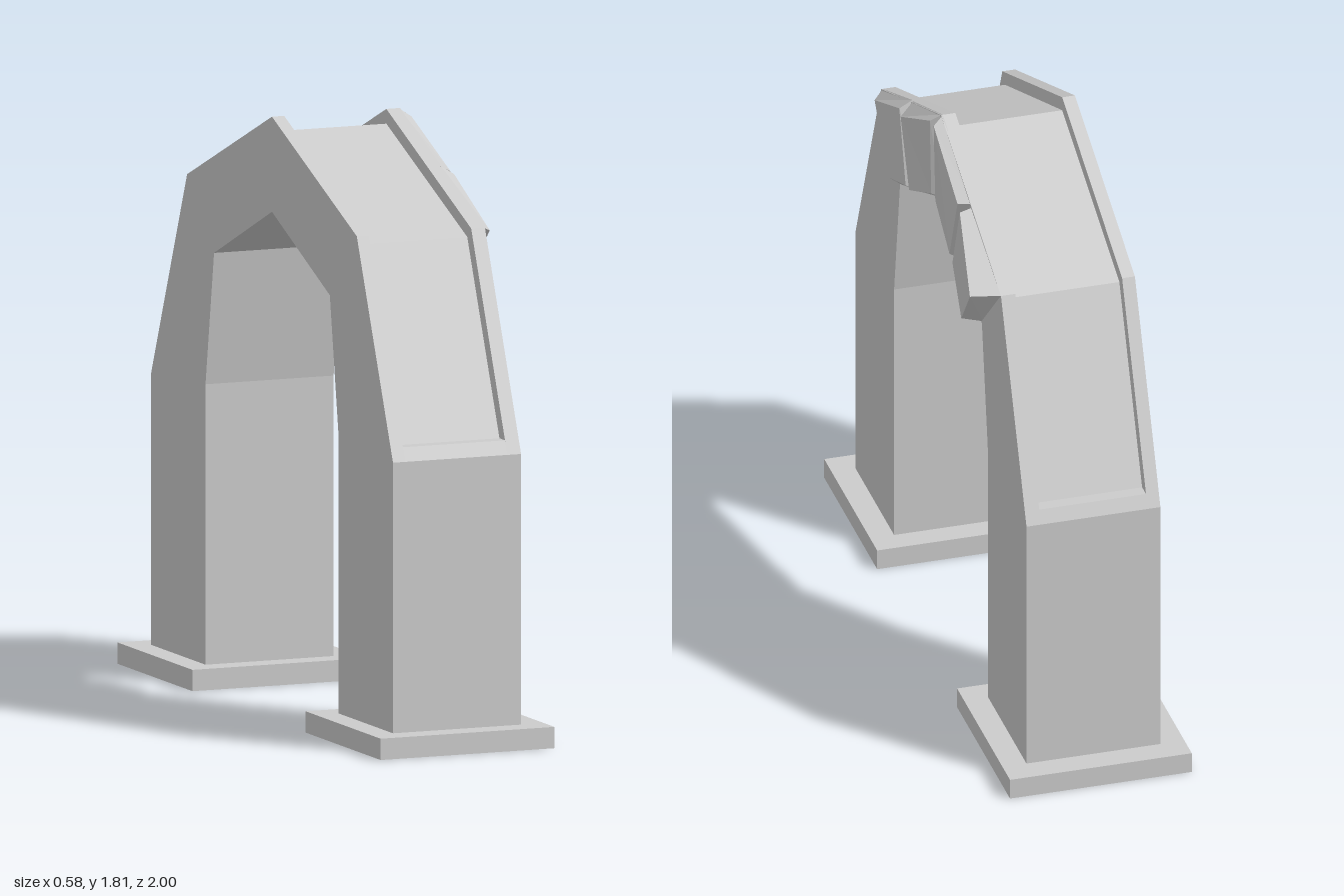
import * as THREE from 'three';

const material = new THREE.MeshStandardMaterial({ color: 0xcccccc, flatShading: true });

// Half profiles of the arch, as [z, y] from the foot upwards
const outer = [[0.92, 0.05], [0.92, 0.89], [0.645, 1.54], [0, 1.81]];
const recessed = [[0.92, 0.05], [0.92, 0.89], [0.902, 0.932], [0.86, 0.932], [0.615, 1.51], [0, 1.765]];
const inner = [[0.505, 0.05], [0.505, 0.92], [0.44, 1.33], [0, 1.52]];

// Mirror an outer line and the inner line across z = 0 and extrude the arch along x
function archSlice(line, x0, x1) {
  const mirror = (l) => [...l, ...l.slice(0, -1).reverse().map(([z, y]) => [-z, y])];
  const points = [...mirror(line), ...mirror(inner).reverse()];
  const shape = new THREE.Shape(points.map(([z, y]) => new THREE.Vector2(z, y)));
  const geometry = new THREE.ExtrudeGeometry(shape, { depth: x1 - x0, bevelEnabled: false });
  return geometry.rotateY(Math.PI / 2).translate(x0, 0, 0);
}

// Bevelled stone: base corners [z, y] on the wall, face corners [x, z, y],
// both running top left, bottom left, bottom right, top right
function stoneGeometry(base, face) {
  const back = base.map(([z, y]) => [0.195, y, z]);
  const front = face.map(([x, z, y]) => [x, y, z]);
  const positions = [];
  const quad = (a, b, c, d) => positions.push(...a, ...b, ...c, ...a, ...c, ...d);
  quad(...front);
  for (let i = 0; i < 4; i++) {
    const j = (i + 1) % 4;
    quad(back[i], back[j], front[j], front[i]);
  }
  const geometry = new THREE.BufferGeometry();
  geometry.setAttribute('position', new THREE.Float32BufferAttribute(positions, 3));
  geometry.computeVertexNormals();
  return geometry;
}

export function createModel() {
  const group = new THREE.Group();
  const add = (name, geometry) => {
    const mesh = new THREE.Mesh(geometry, material);
    mesh.name = name;
    group.add(mesh);
    return mesh;
  };

  // Arch with a sunken channel between two rims
  add('archCore', archSlice(recessed, -0.18, 0.155));
  add('archRightRim', archSlice(outer, -0.22, -0.18));
  add('archLeftRim', archSlice(outer, 0.155, 0.2));

  // Foot plates
  for (const [name, side] of [['frontFootPlate', 1], ['backFootPlate', -1]]) {
    add(name, new THREE.BoxGeometry(0.57, 0.065, 0.57)).position.set(-0.01, 0.0325, side * 0.715);
  }

  // Uneven facing stones on the left side of the crown
  const stones = {
    frontLowerStone: [
      [[0.645, 1.54], [0.442, 1.32], [0.21, 1.425], [0.325, 1.68]],
      [[0.23, 0.612, 1.525], [0.24, 0.433, 1.358], [0.24, 0.244, 1.435], [0.235, 0.329, 1.655]],
    ],
    frontUpperStone: [
      [[0.318, 1.68], [0.205, 1.425], [0.002, 1.52], [0.002, 1.81]],
      [[0.245, 0.28, 1.655], [0.245, 0.19, 1.45], [0.225, 0.02, 1.53], [0.23, 0.018, 1.785]],
    ],
    backUpperStone: [
      [[-0.002, 1.81], [-0.002, 1.52], [-0.222, 1.43], [-0.315, 1.675]],
      [[0.23, -0.024, 1.79], [0.225, -0.024, 1.53], [0.235, -0.211, 1.45], [0.235, -0.297, 1.672]],
    ],
    backLowerStone: [
      [[-0.323, 1.668], [-0.232, 1.43], [-0.437, 1.335], [-0.645, 1.54]],
      [[0.237, -0.329, 1.66], [0.235, -0.243, 1.437], [0.262, -0.431, 1.353], [0.29, -0.62, 1.538]],
    ],
  };
  for (const [name, [base, face]] of Object.entries(stones)) add(name, stoneGeometry(base, face));

  return group;
}
